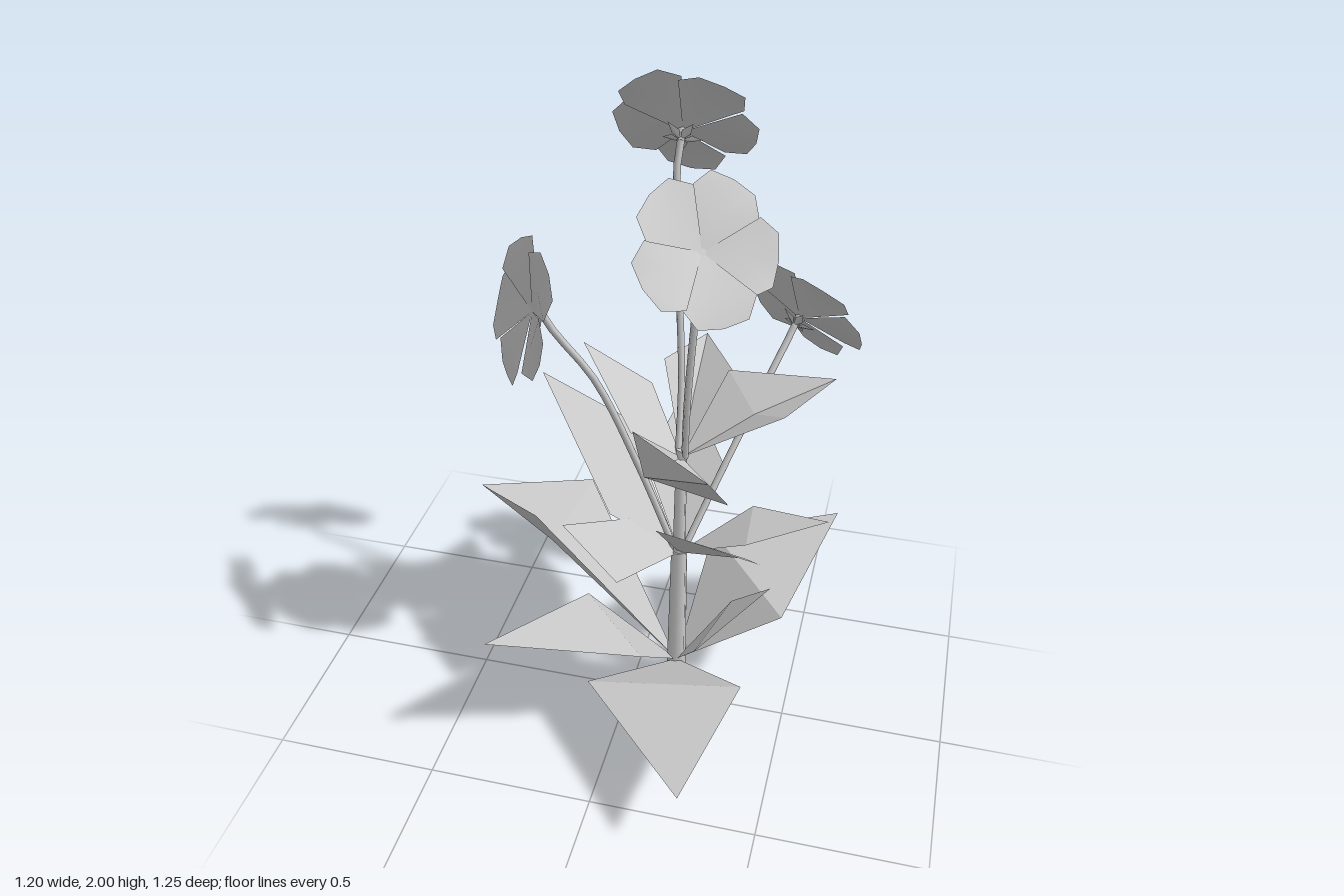
import * as THREE from 'three';

const V = (p) => new THREE.Vector3(...p);
const leafMat = new THREE.MeshStandardMaterial({ color: 0xcccccc, side: THREE.DoubleSide, flatShading: true });
const petalMat = new THREE.MeshStandardMaterial({ color: 0xcccccc, side: THREE.DoubleSide });
const stemMat = new THREE.MeshStandardMaterial({ color: 0xcccccc });

function surface(name, points, faces, mat) {
  const g = new THREE.BufferGeometry();
  g.setAttribute('position', new THREE.Float32BufferAttribute(points.flat(), 3));
  g.setIndex(faces);
  g.computeVertexNormals();
  const mesh = new THREE.Mesh(g, mat);
  mesh.name = name;
  return mesh;
}

// Diamond leaf, bent across its widest line, or folded to a sunken midrib point
const leaf = (base, left, tip, right, mid) => mid
  ? surface('leaf', [base, left, tip, right, mid], [0, 1, 4, 1, 2, 4, 0, 4, 3, 4, 2, 3], leafMat)
  : surface('leaf', [base, left, tip, right], [0, 1, 3, 1, 2, 3], leafMat);

// Thin stalk through a few points
function stalk(points, radius) {
  const curve = new THREE.CatmullRomCurve3(points.map(V), false, 'centripetal');
  const mesh = new THREE.Mesh(new THREE.TubeGeometry(curve, 14, radius, 6), stemMat);
  mesh.name = 'flowerStalk';
  return mesh;
}

// Five-petalled flower facing local +z, one petal pointing to local -y
function flower() {
  const group = new THREE.Group();
  group.name = 'flower';
  for (let i = 0; i < 5; i++) {
    // Broad blunt petal, one side lifted slightly over its neighbour
    const petal = surface('petal', [
      [0, 0, -0.01], [-0.102, 0.135, 0.036], [0, 0.11, 0.016], [0.102, 0.135, 0.022],
      [-0.07, 0.192, 0.028], [0, 0.202, 0.018], [0.07, 0.192, 0.014],
    ], [0, 2, 1, 0, 3, 2, 1, 2, 5, 1, 5, 4, 2, 3, 6, 2, 6, 5], petalMat);
    petal.rotation.z = Math.PI + i * Math.PI * 0.4;
    group.add(petal);
    // Small pointed sepal behind each petal
    const sepal = surface('sepal', [[0, 0, -0.04], [-0.014, 0.025, -0.027], [0, 0.06, -0.02], [0.014, 0.025, -0.027]],
      [0, 2, 1, 0, 3, 2], leafMat);
    sepal.rotation.z = (i + 0.5) * Math.PI * 0.4;
    group.add(sepal);
  }
  const cup = new THREE.Mesh(new THREE.CylinderGeometry(0.016, 0.008, 0.035, 6), stemMat);
  cup.name = 'flowerCup';
  cup.rotation.x = Math.PI / 2;
  cup.position.z = -0.025;
  group.add(cup);
  return group;
}

export function createModel() {
  const model = new THREE.Group();
  model.name = 'floweringPlant';
  const sx = 0.13, sz = -0.1;

  // Main stem, thinner above the middle leaf tier
  for (const [y0, y1, r0, r1] of [[0, 0.52, 0.033, 0.026], [0.52, 0.9, 0.021, 0.017]]) {
    const seg = new THREE.Mesh(new THREE.CylinderGeometry(r1, r0, y1 - y0, 6), stemMat);
    seg.name = 'mainStem';
    seg.position.set(sx, (y0 + y1) / 2, sz);
    model.add(seg);
  }

  // Leaf tiers: base height, then left corner, tip, right corner and optional midrib point
  const tiers = [
    ['lowerLeaves', 0.06, [
      [[-0.08, 0.21, 0.22], [0.29, 0.23, 0.62], [0.39, 0.28, 0.2]],
      [[-0.25, 0.47, -0.46], [-0.6, 0.48, -0.325], [-0.335, 0.565, -0.1], [-0.33, 0.36, -0.24]],
      [[-0.14, 0.36, -0.01], [-0.335, 0.47, 0.405], [0.09, 0.36, 0.23]],
      [[0.24, 0.37, 0.18], [0.43, 0.475, -0.04], [0.3, 0.33, -0.12]],
      [[0.465, 0.32, -0.09], [0.575, 0.385, -0.59], [0.17, 0.31, -0.48]],
    ]],
    ['middleLeaves', 0.51, [
      [[0.1, 0.74, 0.1], [0.44, 0.855, 0.32], [0.36, 0.64, 0.04]],
      [[0.23, 0.69, -0.32], [0.045, 0.815, -0.59], [-0.03, 0.68, -0.32], [0.1, 0.65, -0.32]],
      [[-0.08, 0.86, -0.28], [-0.335, 1.02, -0.23], [-0.07, 0.68, -0.02]],
      [[-0.02, 0.65, -0.05], [-0.19, 0.69, 0.08], [-0.01, 0.545, 0.13]],
      [[0.35, 0.65, -0.01], [0.575, 0.645, -0.19], [0.32, 0.55, -0.34]],
    ]],
    ['upperLeaves', 0.87, [
      [[0.01, 1.02, 0.02], [0.28, 1.05, 0.26], [0.31, 0.87, 0.1], [0.05, 0.88, 0.04]],
      [[0.25, 1.07, -0.28], [0.13, 1.1, -0.45], [0.04, 1.11, -0.25], [0.13, 1.0, -0.27]],
      [[0.01, 1.04, -0.22], [-0.17, 1.21, -0.12], [0.0, 1.0, 0.0]],
      [[0.43, 1.07, -0.08], [0.55, 1.11, -0.26], [0.235, 1.1, -0.25], [0.33, 1.01, -0.17]],
    ]],
  ];
  for (const [name, y, leaves] of tiers) {
    const tier = new THREE.Group();
    tier.name = name;
    for (const points of leaves) tier.add(leaf([sx, y, sz], ...points));
    model.add(tier);
  }

  // Flowers: stalk points, flower centre, facing direction
  const flowers = [
    [[[0.12, 0.87, -0.1], [0.11, 1.1, -0.17], [0.08, 1.5, -0.215], [0.07, 1.73, -0.235]], [0.075, 1.815, -0.285], [0, 0.52, -0.85]],
    [[[0.14, 0.87, -0.1], [0.16, 1.13, -0.02], [0.19, 1.48, 0.045], [0.195, 1.57, 0.055]], [0.21, 1.635, 0.075], [0.5, 0.54, 0.64]],
    [[[0.12, 0.51, -0.1], [0.01, 0.83, -0.07], [-0.11, 1.15, -0.02], [-0.21, 1.32, 0.03]], [-0.265, 1.4, 0.075], [-0.77, 0.25, 0.55]],
    [[[0.14, 0.51, -0.1], [0.25, 0.8, -0.25], [0.355, 1.06, -0.4], [0.38, 1.12, -0.44]], [0.41, 1.18, -0.485], [0.42, 0.52, -0.77]],
  ];
  for (const [points, centre, facing] of flowers) {
    const dir = V(facing).normalize();
    const back = V(centre).addScaledVector(dir, -0.035);
    model.add(stalk([...points, back.toArray()], 0.0105));
    const f = flower();
    f.position.copy(V(centre));
    f.lookAt(V(centre).add(dir));
    model.add(f);
  }
  return model;
}
